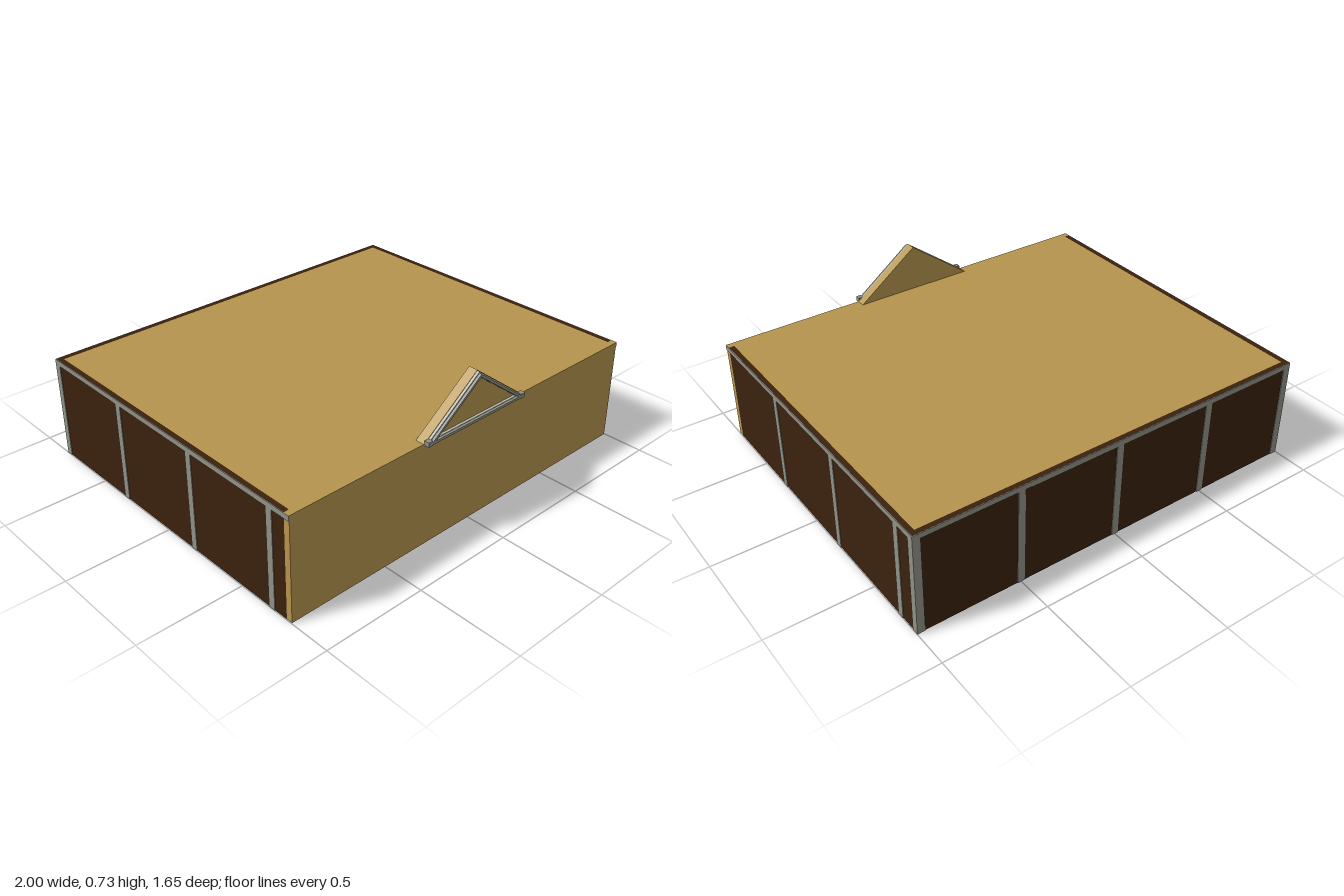
import * as THREE from 'three';

const std = (name, color) => {
  const m = new THREE.MeshStandardMaterial({ color });
  m.name = name;
  return m;
};

export function createModel() {
  const model = new THREE.Group();
  model.name = 'flatRoofedHall';
  const tan = std('tan', 0xb5944d);
  const brown = std('darkBrown', 0x3b210d);
  const grey = std('grey', 0x8f9186);
  const pale = std('paleGrey', 0xb9b6aa);

  const add = (name, geometry, material, parent = model) => {
    const mesh = new THREE.Mesh(geometry, material);
    mesh.name = name;
    parent.add(mesh);
    return mesh;
  };
  // box given by its minimum and maximum corners
  const box = (name, [x0, y0, z0], [x1, y1, z1], material, parent) => {
    const g = new THREE.BoxGeometry(x1 - x0, y1 - y0, z1 - z0);
    g.translate((x0 + x1) / 2, (y0 + y1) / 2, (z0 + z1) / 2);
    return add(name, g, material, parent);
  };

  const H = 0.5, W = 0.997, BACK = -0.822, FRONT = 0.8, T = 0.025;
  const PLATE = 0.003, POST = 0.034, RAIL = 0.475;

  // hollow shell, open underneath
  box('roof', [-W + T, H - 0.01, BACK + T], [W - T, H, FRONT - 0.03], tan);
  box('frontWall', [-W, 0, FRONT - 0.03], [W, H, FRONT], tan);
  box('backWall', [-W, 0, BACK], [W, H, BACK + T], brown);
  for (const [side, s] of [['left', 1], ['right', -1]]) {
    const a = s * W, b = s * (W - T);
    box(side + 'Wall', [Math.min(a, b), 0, BACK + T], [Math.max(a, b), H, FRONT - 0.03], brown);
  }

  // thin rails and posts on the two sides; the spacing starts from opposite ends
  for (const [side, s] of [['left', 1], ['right', -1]]) {
    const frame = new THREE.Group();
    frame.name = side + 'Frame';
    model.add(frame);
    const x0 = s > 0 ? W : -W - PLATE, x1 = x0 + PLATE;
    box('topRail', [x0, RAIL, BACK - PLATE], [x1, H, FRONT], grey, frame);
    box('cornerPost', [x0, 0, BACK - PLATE], [x1, RAIL, BACK + 0.03], grey, frame);
    const first = s > 0 ? 0.303 : -0.32;
    for (let i = 0; i < 3; i++) {
      const z = first - s * i * 0.502;
      box('post', [x0, 0, z - POST / 2], [x1, RAIL, z + POST / 2], grey, frame);
    }
  }

  // back frame
  const backFrame = new THREE.Group();
  backFrame.name = 'backFrame';
  model.add(backFrame);
  box('topRail', [-W, RAIL, BACK - PLATE], [W, H, BACK], grey, backFrame);
  for (const x of [-0.98, -0.5, 0, 0.5, 0.98]) {
    box('post', [x - POST / 2, 0, BACK - PLATE], [x + POST / 2, RAIL, BACK], grey, backFrame);
  }

  // triangular pediment above the front wall
  const triangle = (Kind, half, base, top) => new Kind([
    new THREE.Vector2(-half, base), new THREE.Vector2(half, base), new THREE.Vector2(0, top),
  ]);
  const extrude = (shape, z0, z1) => {
    const g = new THREE.ExtrudeGeometry(shape, { depth: z1 - z0, bevelEnabled: false });
    g.translate(0, 0, z0);
    return g;
  };
  const pediment = new THREE.Group();
  pediment.name = 'pediment';
  model.add(pediment);
  add('gable', extrude(triangle(THREE.Shape, 0.3, H, 0.725), 0.757, FRONT + 0.001), tan, pediment);

  // stepped moulding around the gable
  const steps = [
    ['mouldingBack', 0.3, 0.496, 0.722, 0.25, 0.512, 0.698, FRONT, 0.813, pale],
    ['mouldingFront', 0.29, 0.497, 0.715, 0.256, 0.509, 0.701, 0.813, 0.825, grey],
  ];
  for (const [name, half, base, top, ih, ib, it, z0, z1, material] of steps) {
    const ring = triangle(THREE.Shape, half, base, top);
    ring.holes.push(triangle(THREE.Path, ih, ib, it));
    add(name, extrude(ring, z0, z1), material, pediment);
  }
  // blocks closing the lower ends of the moulding
  for (const s of [-1, 1]) {
    box('mouldingEnd', [s * 0.285 - 0.012, 0.494, FRONT], [s * 0.285 + 0.012, 0.516, 0.825], grey, pediment);
  }
  return model;
}
